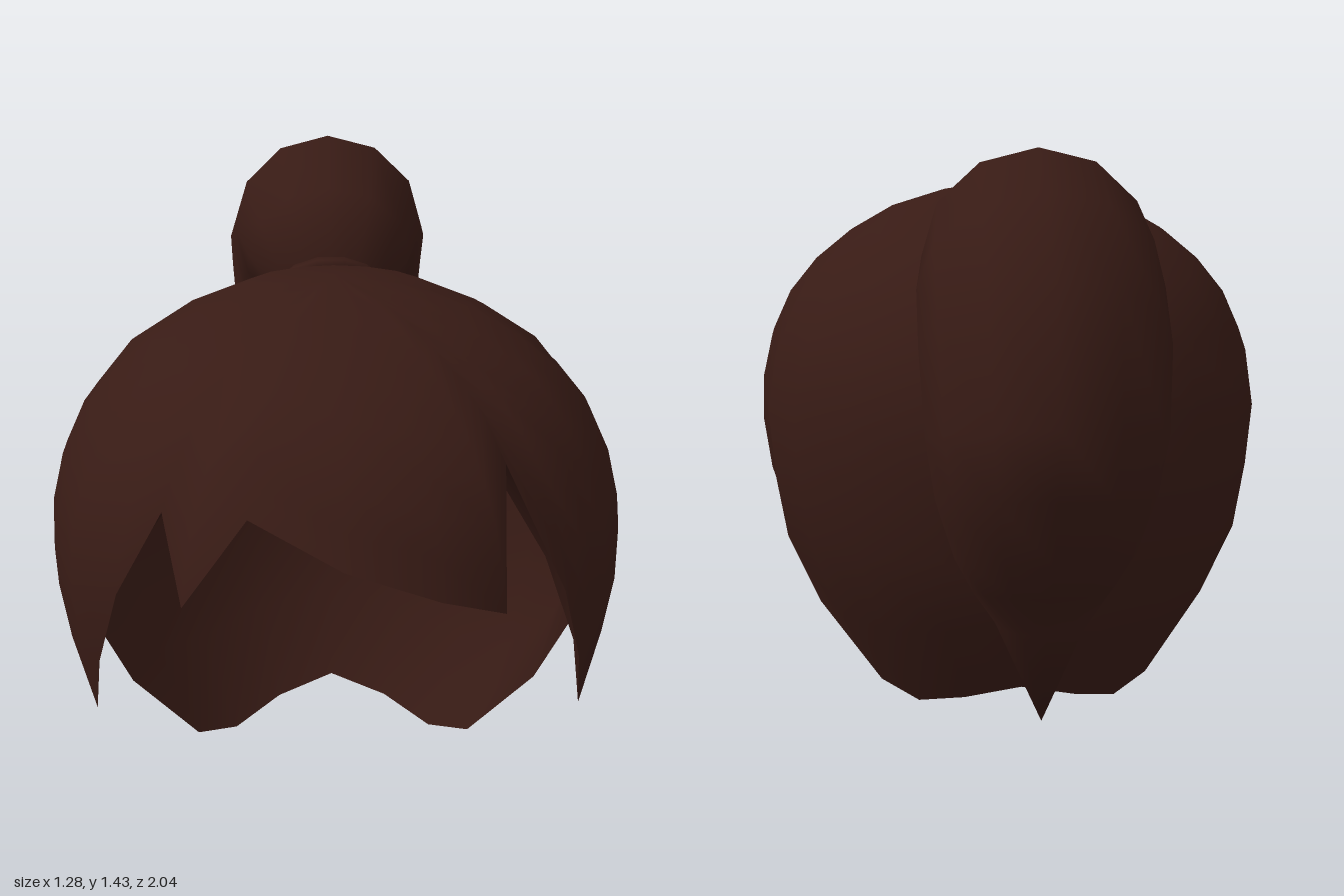
import * as THREE from 'three';
import { mergeVertices } from 'three/addons/utils/BufferGeometryUtils.js';

const material = new THREE.MeshStandardMaterial({ color: 0x381b15, side: THREE.DoubleSide });

// Piecewise-linear lookup in a list of [key, value] pairs
function lookup(table, k) {
  for (let i = 1; i < table.length; i++) {
    const [k0, v0] = table[i - 1], [k1, v1] = table[i];
    if (k <= k1) return v0 + (v1 - v0) * Math.max(0, (k - k0) / (k1 - k0));
  }
  return table[table.length - 1][1];
}

// Smooth skin over closed rings of points
function skin(name, rings, flip = false) {
  const n = rings[0].length, index = [];
  for (let i = 0; i < rings.length - 1; i++) {
    for (let j = 0; j < n; j++) {
      const a = i * n + j, b = a + n, c = i * n + (j + 1) % n, d = c + n;
      if (flip) index.push(a, b, c, c, b, d);
      else index.push(a, c, b, c, d, b);
    }
  }
  let geo = new THREE.BufferGeometry().setFromPoints(rings.flat());
  geo.setIndex(index);
  geo = mergeVertices(geo);
  geo.computeVertexNormals();
  const mesh = new THREE.Mesh(geo, material);
  mesh.name = name;
  return mesh;
}

// Radius of the cap at each height
const RADIUS = [[0, 0.38], [0.03, 0.4], [0.09, 0.43], [0.2, 0.5], [0.27, 0.55], [0.4, 0.595],
  [0.66, 0.637], [0.78, 0.637], [0.9, 0.61], [1.0, 0.565], [1.13, 0.46], [1.235, 0.28], [1.265, 0.17], [1.29, 0]];

// Swell of the cap from the back (0 degrees) to the fringe (180)
const SWELL = [[0, 1], [90, 1], [120, 1.04], [135, 1.07], [146, 1.09], [153, 1.12], [162, 1.17], [180, 1.18]];

// Lower edge: half from back to temple lock, mirrored, with a lopsided fringe between
const SIDE = [[0, 0.08], [20, 0.04], [41, 0], [59, 0.03], [75, 0.22], [90, 0.55], [98, 0.555],
  [110, 0.52], [120, 0.39], [129, 0.56], [138, 0.76]];
const FRINGE = [[146, 1.03], [153, 0.77], [165, 0.83], [180, 0.9], [196, 0.98], [206.5, 0.79], [214, 0.95]];
const RIM = [...SIDE, ...FRINGE, ...SIDE.slice(1).reverse().map(([a, y]) => [360 - a, y])];

// Shell of the cap; an inset shell meets the outer one at the rim
function capRings(inset) {
  const rows = 9, rings = [];
  for (let i = 0; i <= rows; i++) {
    const t = i / rows;
    rings.push(RIM.map(([deg, rim]) => {
      const top = 1.29 - inset;
      const y = top - (top - rim) * Math.pow(t, 1.6);
      const shrink = i < rows ? 1 - inset * 1.3 : 1;
      const lift = i < rows ? inset : 0;
      const r = lookup(RADIUS, y + lift) * lookup(SWELL, Math.min(deg, 360 - deg)) * shrink;
      const a = THREE.MathUtils.degToRad(deg);
      return new THREE.Vector3(r * Math.sin(a), y, 0.32 - r * Math.cos(a));
    }));
  }
  return rings;
}

// Tail sections: outer z, y, inner z, y, half width
const TAIL = [
  [-0.22, 1.08, -0.22, 1.08, 0],
  [-0.19, 1.17, -0.28, 0.98, 0.13],
  [-0.26, 1.35, -0.36, 0.985, 0.205],
  [-0.53, 1.43, -0.44, 0.97, 0.245],
  [-0.73, 1.355, -0.485, 0.935, 0.26],
  [-0.92, 1.2, -0.51, 0.88, 0.26],
  [-1.0, 0.93, -0.52, 0.8, 0.25],
  [-0.97, 0.78, -0.512, 0.68, 0.23],
  [-0.91, 0.63, -0.505, 0.56, 0.19],
  [-0.83, 0.54, -0.505, 0.48, 0.15],
  [-0.74, 0.43, -0.51, 0.42, 0.1],
  [-0.63, 0.2, -0.63, 0.2, 0],
];

function tailRings(sides) {
  return TAIL.map(([oz, oy, iz, iy, w]) => Array.from({ length: sides }, (_, j) => {
    const a = -j / sides * Math.PI * 2, s = Math.sin(a) / 2;
    return new THREE.Vector3(w * Math.cos(a), (oy + iy) / 2 + s * (oy - iy), (oz + iz) / 2 + s * (oz - iz));
  }));
}

export function createModel() {
  const group = new THREE.Group();
  group.name = 'ponytailHair';

  // Hair cap with temple locks and fringe
  group.add(skin('hairCapOuter', capRings(0)));
  group.add(skin('hairCapInner', capRings(0.05), true));

  // Ponytail
  group.add(skin('ponytail', tailRings(12)));

  // Hair tie at the root of the tail
  const tie = new THREE.Mesh(new THREE.TorusGeometry(0.132, 0.024, 6, 14), material);
  tie.name = 'hairTie';
  tie.position.set(0, 1.075, -0.22);
  tie.rotation.x = 0.595;
  group.add(tie);

  return group;
}
